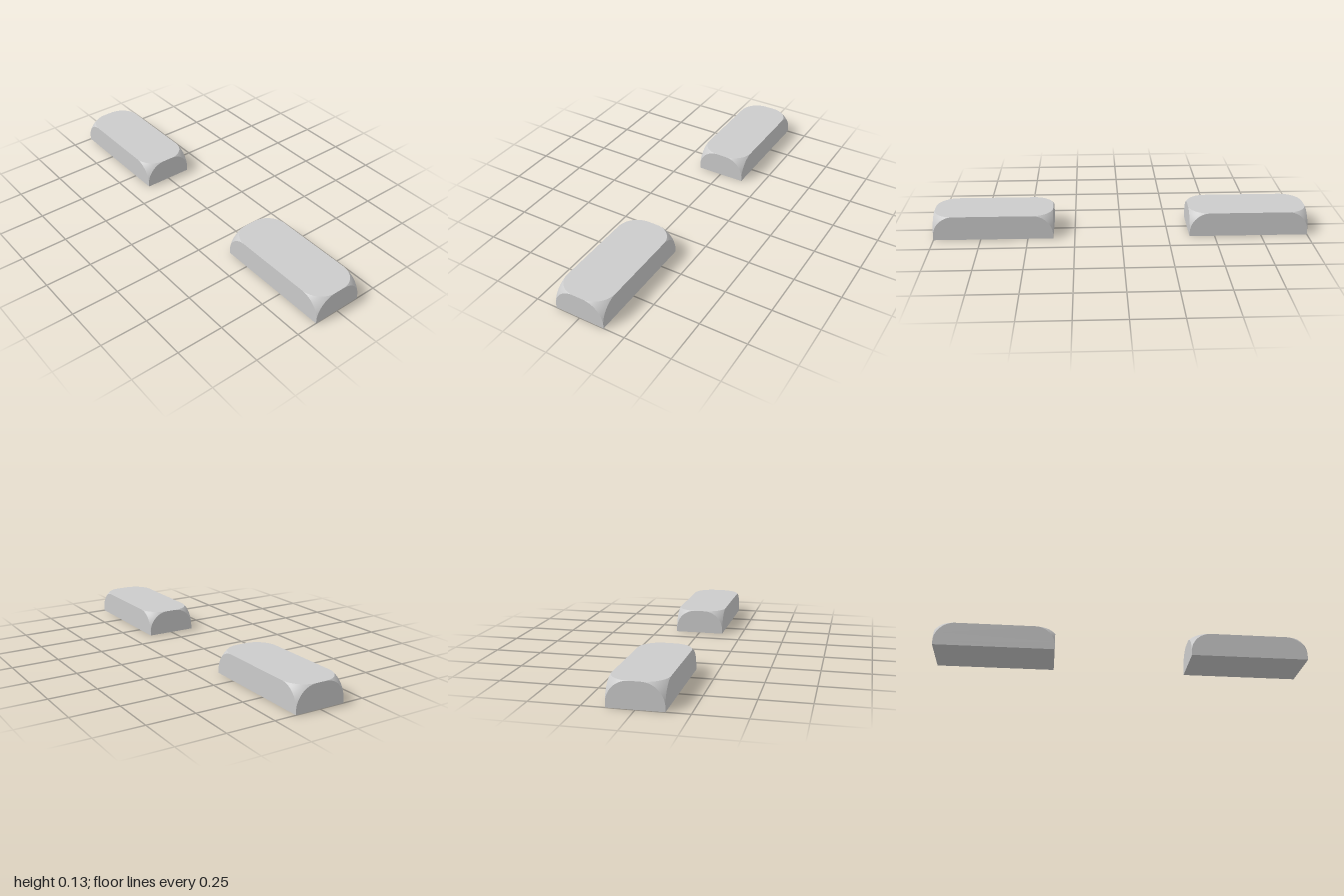
import * as THREE from 'three';
import { mergeGeometries } from 'three/addons/utils/BufferGeometryUtils.js';

const W = 0.272, H = 0.13, L = 0.635, R = 0.11, SEG = 20;

// upright wall with its two upper corners rounded, facing +z
function wall(width, angle, offset) {
  const h = width / 2;
  const s = new THREE.Shape();
  s.moveTo(-h, 0);
  s.lineTo(h, 0);
  s.absarc(h - R, H - R, R, 0, Math.PI / 2, false);
  s.absarc(-h + R, H - R, R, Math.PI / 2, Math.PI, false);
  s.closePath();
  return new THREE.ShapeGeometry(s, SEG).translate(0, 0, offset).rotateY(angle);
}

// flat top with four rounded corners
function topFace() {
  const x = W / 2 - R, z = L / 2 - R, q = Math.PI / 2;
  const s = new THREE.Shape();
  [[x, z], [-x, z], [-x, -z], [x, -z]].forEach(([cx, cz], i) =>
    s.absarc(cx, cz, R, i * q, (i + 1) * q, false));
  s.closePath();
  return new THREE.ShapeGeometry(s, SEG).rotateX(-Math.PI / 2).translate(0, H, 0);
}

// three-sided piece of a sphere, meeting the top and both walls in arcs
function cornerPatch(sx, sz) {
  const pos = [], nor = [], uv = [], idx = [];
  for (let i = 0; i <= SEG; i++) {
    const c = Math.sin((i / SEG) * Math.PI / 2);
    const rho = Math.sqrt(2 - c * c);
    const a0 = Math.acos(Math.min(1, 1 / rho)), a1 = Math.PI / 2 - a0;
    for (let j = 0; j <= SEG; j++) {
      const a = a0 + (a1 - a0) * (j / SEG);
      const d = new THREE.Vector3(c * sx, rho * Math.cos(a), rho * Math.sin(a) * sz);
      pos.push(sx * (W / 2 - R) + d.x * R, H - R + d.y * R, sz * (L / 2 - R) + d.z * R);
      d.normalize();
      nor.push(d.x, d.y, d.z);
      uv.push(i / SEG, j / SEG);
      if (i < SEG && j < SEG) {
        const k = i * (SEG + 1) + j, n = k + SEG + 1;
        if (sx * sz > 0) idx.push(k, k + 1, n, k + 1, n + 1, n);
        else idx.push(k, n, k + 1, k + 1, n, n + 1);
      }
    }
  }
  const g = new THREE.BufferGeometry();
  g.setAttribute('position', new THREE.Float32BufferAttribute(pos, 3));
  g.setAttribute('normal', new THREE.Float32BufferAttribute(nor, 3));
  g.setAttribute('uv', new THREE.Float32BufferAttribute(uv, 2));
  g.setIndex(idx);
  return g;
}

function blockGeometry() {
  return mergeGeometries([
    wall(W, 0, L / 2), wall(W, Math.PI, L / 2),
    wall(L, Math.PI / 2, W / 2), wall(L, -Math.PI / 2, W / 2),
    topFace(),
    new THREE.PlaneGeometry(W, L).rotateX(Math.PI / 2),
    cornerPatch(1, 1), cornerPatch(1, -1), cornerPatch(-1, 1), cornerPatch(-1, -1),
  ]);
}

export function createModel() {
  const model = new THREE.Group();
  model.name = 'blockPair';
  const material = new THREE.MeshStandardMaterial({ color: 0xcccccc });
  const geometry = blockGeometry();
  // two identical blocks, one in front of the other
  for (const [name, side] of [['frontBlock', 1], ['backBlock', -1]]) {
    const block = new THREE.Mesh(geometry, material);
    block.name = name;
    block.position.z = side * (1 - L / 2);
    model.add(block);
  }
  return model;
}
